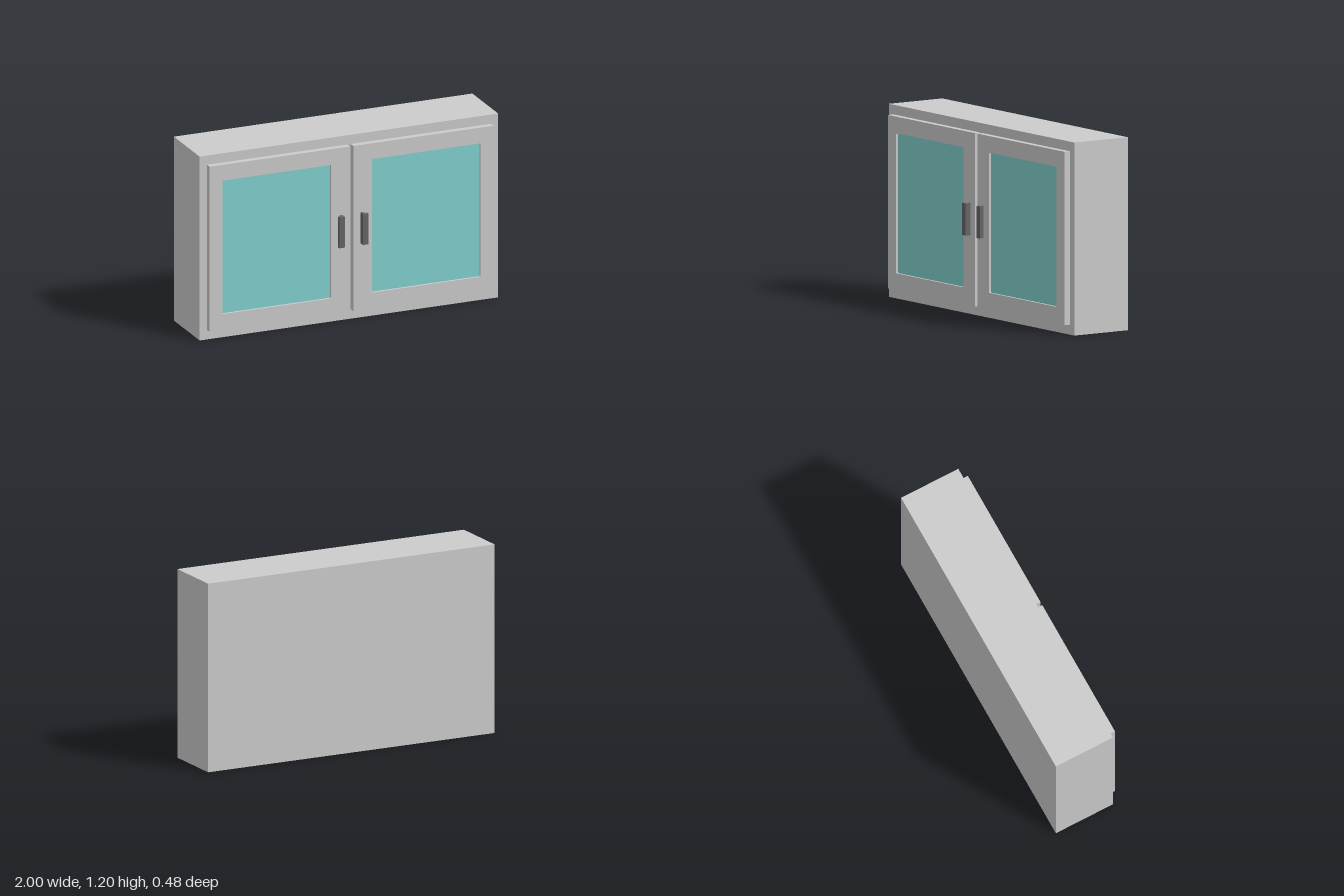
import * as THREE from 'three';

const grey = new THREE.MeshStandardMaterial({ color: 0xcccccc });
const teal = new THREE.MeshStandardMaterial({ color: 0x82d2cf });
const dark = new THREE.MeshStandardMaterial({ color: 0x666666 });

// Box given by its extents on each axis
function box(name, [x0, x1], [y0, y1], [z0, z1], material) {
  const mesh = new THREE.Mesh(new THREE.BoxGeometry(x1 - x0, y1 - y0, z1 - z0), material);
  mesh.position.set((x0 + x1) / 2, (y0 + y1) / 2, (z0 + z1) / 2);
  mesh.name = name;
  return mesh;
}

// Rectangle outline with slightly rounded corners
function roundedRect(path, x0, x1, y0, y1, r) {
  path.moveTo(x0 + r, y0);
  path.lineTo(x1 - r, y0);
  path.quadraticCurveTo(x1, y0, x1, y0 + r);
  path.lineTo(x1, y1 - r);
  path.quadraticCurveTo(x1, y1, x1 - r, y1);
  path.lineTo(x0 + r, y1);
  path.quadraticCurveTo(x0, y1, x0, y1 - r);
  path.lineTo(x0, y0 + r);
  path.quadraticCurveTo(x0, y0, x0 + r, y0);
  return path;
}

// Door frame with a window opening; side is +1 (left) or -1 (right)
function createDoor(side) {
  const door = new THREE.Group();
  door.name = side > 0 ? 'leftDoor' : 'rightDoor';
  const span = (a, b) => (side > 0 ? [a, b] : [-b, -a]);

  const [x0, x1] = span(0.012, 0.95);
  const [w0, w1] = span(0.136, 0.864);
  const shape = new THREE.Shape();
  shape.moveTo(x0, 0.062);
  shape.lineTo(x1, 0.062);
  shape.lineTo(x1, 1.14);
  shape.lineTo(x0, 1.14);
  shape.closePath();
  shape.holes.push(roundedRect(new THREE.Path(), w0, w1, 0.166, 1.037, 0.008));
  const frame = new THREE.Mesh(
    new THREE.ExtrudeGeometry(shape, { depth: 0.04, bevelEnabled: false, curveSegments: 4 }), grey);
  frame.position.z = 0.16;
  frame.name = 'doorFrame';

  // Recessed pane, tucked slightly into the frame
  const pane = box('glassPane', [w0 - 0.005, w1 + 0.005], [0.161, 1.042], [0.165, 0.185], teal);

  // L-section handle: narrow stem and wider grip
  const handle = new THREE.Group();
  handle.name = 'handle';
  handle.add(
    box('handleStem', span(0.06, 0.08), [0.5, 0.7], [0.2, 0.22], dark),
    box('handleGrip', span(0.06, 0.098), [0.5, 0.7], [0.22, 0.24], dark));

  door.add(frame, pane, handle);
  return door;
}

export function createModel() {
  const model = new THREE.Group();
  model.name = 'wallCabinet';
  model.add(box('cabinetBody', [-1, 1], [0, 1.2], [-0.24, 0.16], grey));
  for (const side of [1, -1]) model.add(createDoor(side));
  return model;
}
